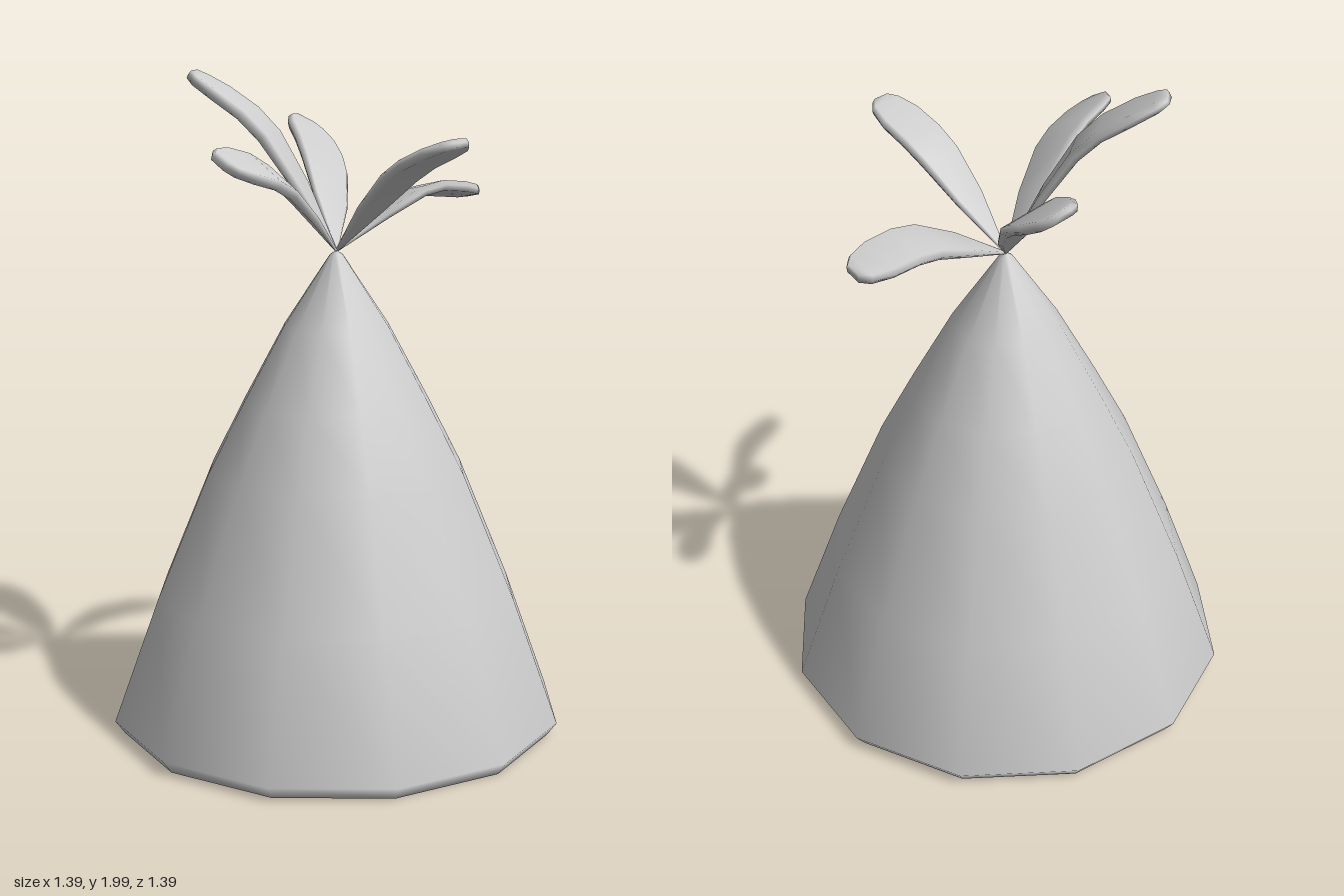
import * as THREE from 'three';

const material = new THREE.MeshStandardMaterial({ color: 0xcccccc });
const APEX = new THREE.Vector3(0, 1.462, 0);

// Hollow twelve-sided cone with a rolled lower rim and slightly bulging sides
function createCone() {
  const profile = [
    [0, 1.43], [0.14, 1.23], [0.27, 1.0], [0.375, 0.79], [0.535, 0.42], [0.67, 0.05], // inside
    [0.655, 0.015], [0.668, 0], [0.697, 0.04],                                         // rim
    [0.557, 0.42], [0.397, 0.8], [0.288, 1.01], [0.162, 1.24], [0.02, 1.452], [0, 1.465], // outside
  ].map(([r, y]) => new THREE.Vector2(r, y));
  const cone = new THREE.Mesh(new THREE.LatheGeometry(profile, 12), material);
  cone.name = 'cone';
  return cone;
}

// Flat bevelled cross-section: across the width, through the thickness
const SECTION = [[1, 0], [0.85, 1], [-0.85, 1], [-1, 0], [-0.85, -1], [0.85, -1]];
// Position along the leaf (0 apex, 1 bend, 2 tip), width, thickness
const STATIONS = [
  [0, 0.04, 0.003], [0.5, 0.68, 0.012], [0.9, 0.95, 0.016], [1.2, 1, 0.016],
  [1.6, 0.97, 0.016], [1.88, 0.72, 0.015], [2, 0.38, 0.013],
];

// Leaf lofted along a curve from the apex through a bend to its tip; side is the half width
function createLeaf(name, bend, tip, side) {
  const T = new THREE.Vector3(...tip);
  const S = new THREE.Vector3(...side);
  const spine = new THREE.CatmullRomCurve3([APEX, new THREE.Vector3(...bend), T]);
  const n = SECTION.length;
  const positions = [], index = [];

  STATIONS.forEach(([t, width, thickness], i) => {
    const centre = spine.getPoint(t / 2);
    const normal = S.clone().cross(spine.getTangent(t / 2)).normalize();
    SECTION.forEach(([u, v], j) => {
      const p = centre.clone().addScaledVector(S, u * width).addScaledVector(normal, v * thickness);
      positions.push(p.x, p.y, p.z);
      if (i === 0) return;
      const k = (j + 1) % n, a = (i - 1) * n, b = i * n;
      index.push(a + j, b + j, a + k, a + k, b + j, b + k);
    });
  });

  // Closed tip
  const last = (STATIONS.length - 1) * n;
  positions.push(T.x, T.y, T.z);
  for (let j = 0; j < n; j++) index.push(last + n, last + (j + 1) % n, last + j);

  const geometry = new THREE.BufferGeometry();
  geometry.setAttribute('position', new THREE.Float32BufferAttribute(positions, 3));
  geometry.setIndex(index);
  geometry.computeVertexNormals();
  const leaf = new THREE.Mesh(geometry, material);
  leaf.name = name;
  return leaf;
}

export function createModel() {
  const model = new THREE.Group();
  model.name = 'partyHat';
  model.add(createCone());

  // Spray of five leaves on the point
  const tassel = new THREE.Group();
  tassel.name = 'tassel';
  [
    ['frontLeaf', [0.005, 1.71, 0.28], [0.005, 1.8, 0.49], [0.08, 0, 0]],
    ['leftLeaf', [0.34, 1.625, 0.02], [0.56, 1.612, 0.05], [-0.015, 0.015, 0.08]],
    ['rightLeaf', [-0.31, 1.7, 0.06], [-0.52, 1.755, 0.075], [0, 0.042, -0.075]],
    ['backRightLeaf', [-0.135, 1.83, -0.18], [-0.235, 1.982, -0.378], [0.074, 0.004, -0.043]],
    ['backLeftLeaf', [0.165, 1.72, -0.23], [0.262, 1.828, -0.418], [0.064, -0.04, 0.045]],
  ].forEach((leaf) => tassel.add(createLeaf(...leaf)));
  model.add(tassel);
  return model;
}
